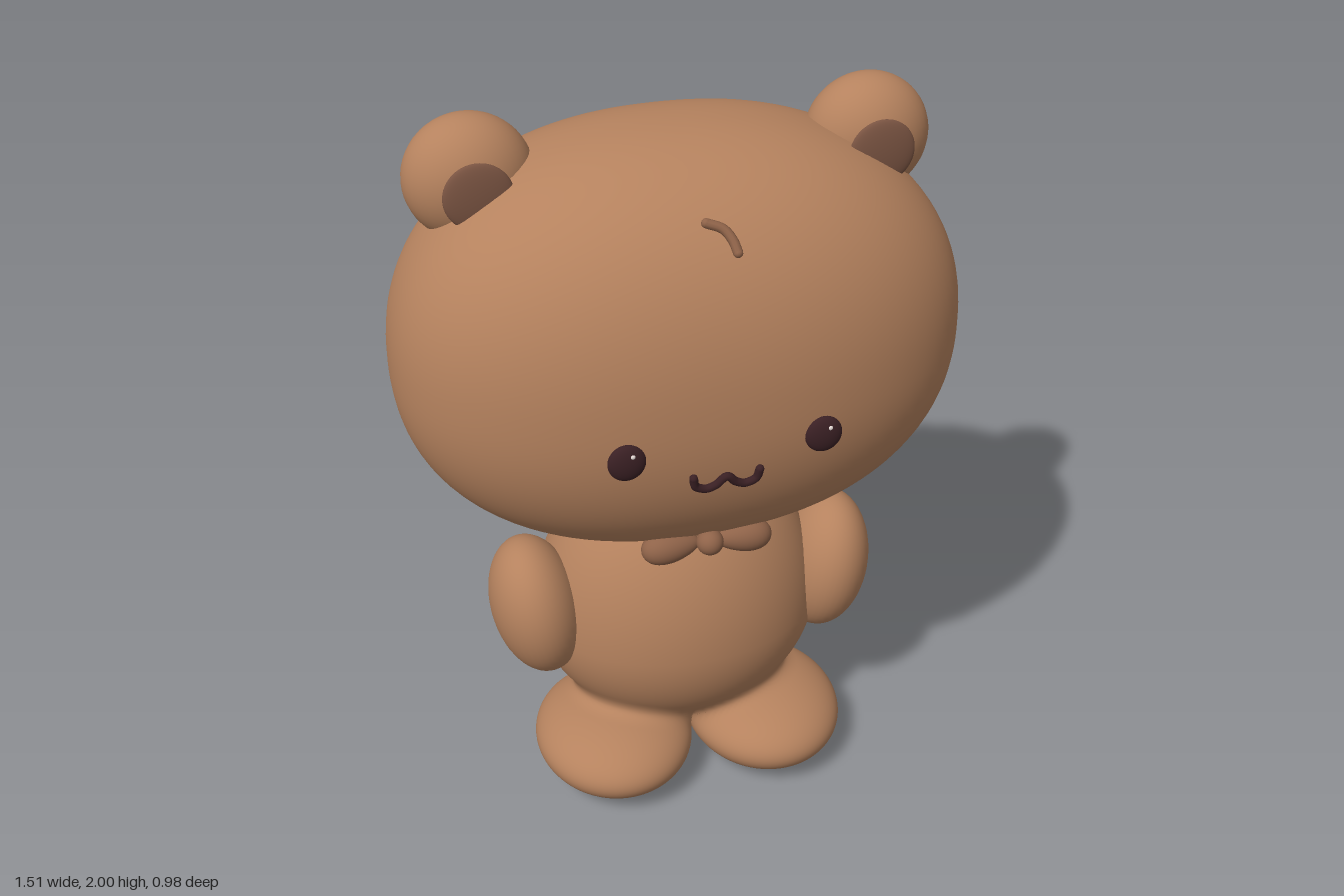
import * as THREE from 'three';
import { mergeVertices } from 'three/addons/utils/BufferGeometryUtils.js';

const mat = (name, color) => {
  const m = new THREE.MeshStandardMaterial({ color });
  m.name = name;
  return m;
};
const V = (x, y, z) => new THREE.Vector3(x, y, z);

// Head: a superellipsoid with its own radius in each direction
const HEAD = { y: 1.36, rx: 0.755, up: 0.59, down: 0.55, front: 0.48, back: 0.5, p: 2.25 };

function headGeometry() {
  const g = new THREE.SphereGeometry(1, 96, 64);
  const pos = g.attributes.position;
  for (let i = 0; i < pos.count; i++) {
    const x = pos.getX(i), y = pos.getY(i), z = pos.getZ(i), p = HEAD.p;
    const n = (Math.abs(x) ** p + Math.abs(y) ** p + Math.abs(z) ** p) ** (1 / p);
    pos.setXYZ(i, (x / n) * HEAD.rx,
      HEAD.y + (y / n) * (y > 0 ? HEAD.up : HEAD.down),
      (z / n) * (z > 0 ? HEAD.front : HEAD.back));
  }
  g.deleteAttribute('uv');
  g.deleteAttribute('normal');
  const merged = mergeVertices(g, 1e-5);
  merged.computeVertexNormals();
  return merged;
}

// Depth of the face surface at a given x and y
function faceZ(x, y) {
  const dy = (y - HEAD.y) / (y > HEAD.y ? HEAD.up : HEAD.down);
  const rest = 1 - Math.abs(x / HEAD.rx) ** HEAD.p - Math.abs(dy) ** HEAD.p;
  return HEAD.front * Math.max(rest, 0) ** (1 / HEAD.p);
}

// Torso and feet are joined by a smooth blend of three ellipsoids
const TORSO = { c: V(0, 0.48, -0.008), r: V(0.41, 0.36, 0.325), up: 0.5 };
const FEET = [1, -1].map((s) => ({ c: V(0.226 * s, 0.122, 0.13), r: V(0.226, 0.12, 0.26) }));

function ellipsoidDistance(p, e) {
  const d = p.clone().sub(e.c);
  const r = e.r.clone();
  if (e.up && d.y > 0) r.y = e.up;
  const a = d.divide(r);
  const k = a.length();
  return (k * (k - 1)) / Math.max(a.divide(r).length(), 1e-6);
}

const smoothMin = (a, b, k) => {
  const h = Math.max(k - Math.abs(a - b), 0) / k;
  return Math.min(a, b) - (h * h * k) / 4;
};

const bodyField = (p) => smoothMin(
  ellipsoidDistance(p, TORSO),
  Math.min(...FEET.map((f) => ellipsoidDistance(p, f))), 0.06);

function gradient(p) {
  const e = 0.001;
  return V(...['x', 'y', 'z'].map((axis) => {
    const a = p.clone(), b = p.clone();
    a[axis] += e;
    b[axis] -= e;
    return (bodyField(a) - bodyField(b)) / (2 * e);
  }));
}

function blendedGeometry(e) {
  const g = new THREE.SphereGeometry(1, 80, 56);
  const pos = g.attributes.position, nor = g.attributes.normal;
  const p = V(0, 0, 0);
  for (let i = 0; i < pos.count; i++) {
    p.fromBufferAttribute(pos, i);
    const ry = e.up && p.y > 0 ? e.up : e.r.y;
    p.multiply(V(e.r.x, ry, e.r.z)).add(e.c);
    if (bodyField(p) > -0.03) {
      for (let n = 0; n < 4; n++) {
        const d = gradient(p);
        p.addScaledVector(d, -bodyField(p) / Math.max(d.lengthSq(), 0.2));
      }
    }
    pos.setXYZ(i, p.x, p.y, p.z);
    const n = gradient(p).normalize();
    nor.setXYZ(i, n.x, n.y, n.z);
  }
  return g;
}

// Bow wing: an ellipsoid that narrows towards the knot
function bowWingGeometry(side) {
  const g = new THREE.SphereGeometry(1, 32, 24);
  const pos = g.attributes.position;
  for (let i = 0; i < pos.count; i++) {
    const x = pos.getX(i), w = 0.82 + 0.22 * x * side;
    pos.setXYZ(i, x * 0.08, pos.getY(i) * 0.054 * w, pos.getZ(i) * 0.05 * w);
  }
  g.computeVertexNormals();
  return g;
}

export function createModel() {
  const model = new THREE.Group();
  model.name = 'bear';
  const fur = mat('fur brown', 0xb5825e);
  const inner = mat('inner ear brown', 0x7a5442);
  const bowMat = mat('bow brown', 0x8f6349);
  const dark = mat('dark brown', 0x3a2024);
  const shine = mat('eye shine', 0xe8dcd8);

  const add = (name, geometry, material, x = 0, y = 0, z = 0) => {
    const m = new THREE.Mesh(geometry, material);
    m.name = name;
    m.position.set(x, y, z);
    model.add(m);
    return m;
  };
  const ball = (name, material, c, r) => {
    const m = add(name, new THREE.SphereGeometry(1, 40, 28), material, ...c);
    m.scale.set(...r);
    return m;
  };
  // Round-ended strand lying on the face
  const strand = (name, material, points, radius, lift) => {
    const pts = points.map(([x, y]) => V(x, y, faceZ(x, y) + lift));
    const curve = new THREE.CatmullRomCurve3(pts);
    add(name, new THREE.TubeGeometry(curve, 48, radius, 10), material);
    for (const e of [pts[0], pts[pts.length - 1]]) {
      add(name + 'End', new THREE.SphereGeometry(radius, 12, 8), material, e.x, e.y, e.z);
    }
  };

  add('head', headGeometry(), fur);
  add('torso', blendedGeometry(TORSO), fur);
  ball('tail', fur, [0, 0.372, -0.34], [0.107, 0.107, 0.107]);

  for (const s of [1, -1]) {
    const side = s > 0 ? 'left' : 'right';
    add(side + 'Foot', blendedGeometry(FEET[s > 0 ? 0 : 1]), fur);
    const arm = ball(side + 'Arm', fur, [s * 0.422, 0.573, 0.052], [0.126, 0.213, 0.168]);
    arm.rotation.z = -0.17 * s;
    ball(side + 'Ear', fur, [s * 0.514, 1.838, -0.043], [0.164, 0.162, 0.127]);
    ball(side + 'InnerEar', inner, [s * 0.51, 1.838, 0.085], [0.087, 0.087, 0.018]);

    // Eyes with a small highlight
    const ez = faceZ(0.25, 1.28);
    ball(side + 'Eye', dark, [s * 0.25, 1.28, ez + 0.006], [0.048, 0.05, 0.02]);
    ball(side + 'EyeShine', shine, [s * 0.25 + 0.012, 1.304, ez + 0.022], [0.006, 0.006, 0.004]);

    // Bow wings
    const wing = add(side + 'BowWing', bowWingGeometry(s), bowMat, s * 0.098, 0.887, 0.305);
    wing.rotation.z = -0.05 * s;
  }
  ball('bowKnot', bowMat, [0, 0.905, 0.335], [0.036, 0.036, 0.036]);

  // Mouth and forehead tuft
  const half = [[0.085, 1.21], [0.078, 1.182], [0.05, 1.17], [0.025, 1.18]];
  const mouth = [...half.map(([x, y]) => [-x, y]), [0, 1.203], ...half.slice().reverse()];
  strand('mouth', dark, mouth, 0.011, 0.006);
  strand('foreheadTuft', bowMat, [[-0.02, 1.826], [0.018, 1.812], [0.036, 1.79], [0.044, 1.765]], 0.012, 0.012);

  return model;
}
